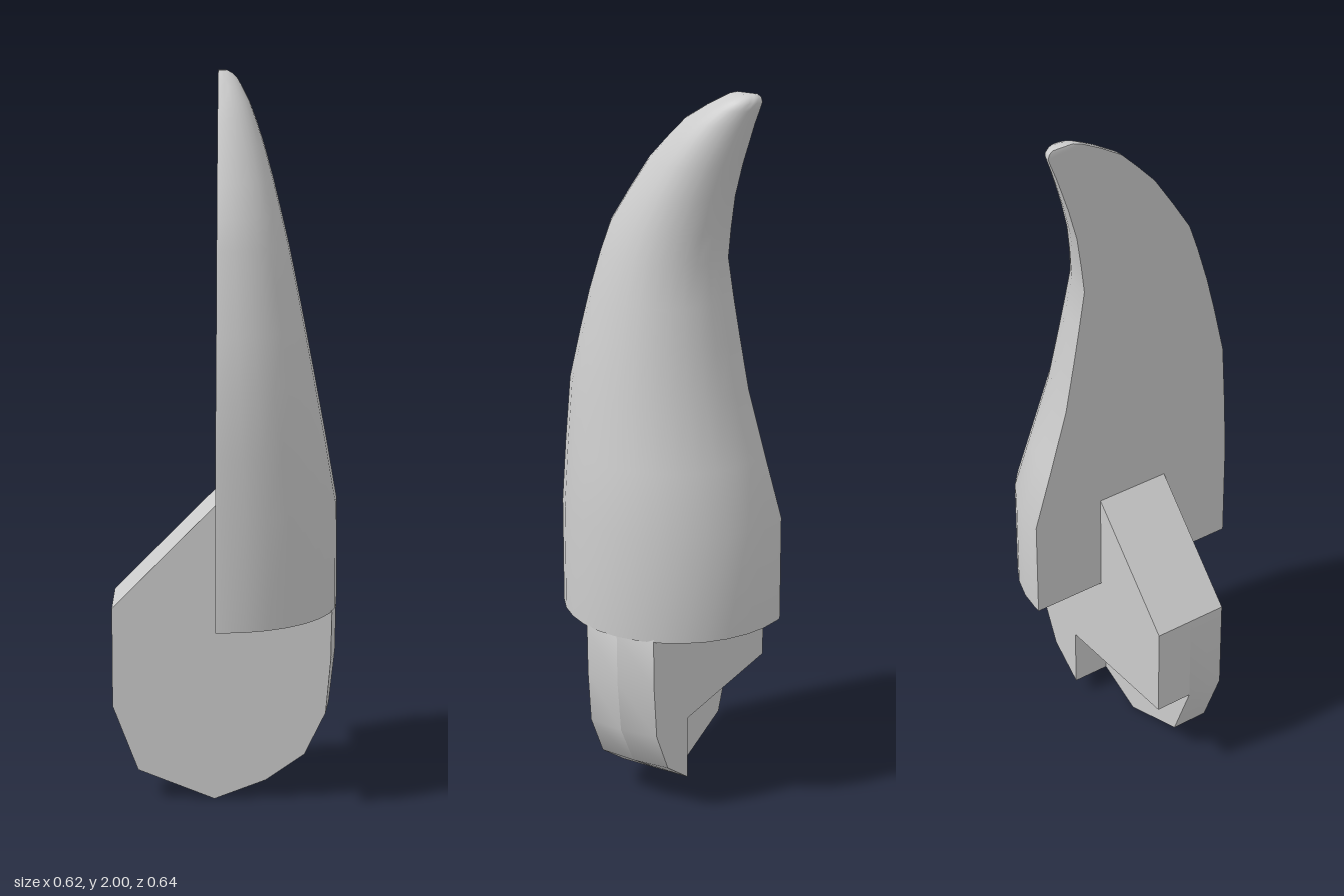
import * as THREE from 'three';
import { toCreasedNormals } from 'three/addons/utils/BufferGeometryUtils.js';

const material = new THREE.MeshStandardMaterial({ color: 0xcccccc });

// Closed loft through rings of equal length, each counter-clockwise about the loft direction.
// Both end caps fan out from the first point of their ring.
function loft(rings, crease) {
  const n = rings[0].length, last = (rings.length - 1) * n, index = [];
  for (let r = 0; r < rings.length - 1; r++) {
    for (let i = 0; i < n; i++) {
      const a = r * n + i, b = r * n + (i + 1) % n;
      index.push(a, b, b + n, a, b + n, a + n);
    }
  }
  for (let i = 1; i < n - 1; i++) {
    index.push(0, i + 1, i, last, last + i, last + i + 1);
  }
  const geometry = new THREE.BufferGeometry();
  geometry.setAttribute('position', new THREE.Float32BufferAttribute(rings.flat(2), 3));
  geometry.setIndex(index);
  return toCreasedNormals(geometry, crease);
}

function addPart(group, name, geometry) {
  const mesh = new THREE.Mesh(geometry, material);
  mesh.name = name;
  group.add(mesh);
}

// Half-round section: flat side at xFlat, bulging to xMax, from zBack to zFront
function hornRing([y, zFront, zBack, xMax, xFlat]) {
  const steps = 16, mid = (zFront + zBack) / 2, half = (zFront - zBack) / 2;
  const xStart = xFlat + (xMax - xFlat) * 0.05;
  const ring = [[xFlat, y, zFront]];
  for (let i = 0; i <= steps; i++) {
    const t = Math.PI * i / steps;
    ring.push([xStart + (xMax - xStart) * Math.sin(t), y, mid + half * Math.cos(t)]);
  }
  ring.push([xFlat, y, zBack]);
  return ring;
}

export function createModel() {
  const group = new THREE.Group();
  group.name = 'halfHorn';

  // Curved horn: height, front z, back z, outer x, flat-side x
  const sections = [
    [0.54, 0.32, -0.32, 0.31, -0.027],
    [0.84, 0.32, -0.32, 0.308, -0.027],
    [1.01, 0.313, -0.268, 0.278, -0.026],
    [1.19, 0.303, -0.215, 0.244, -0.025],
    [1.33, 0.272, -0.188, 0.217, -0.024],
    [1.44, 0.245, -0.168, 0.195, -0.023],
    [1.55, 0.212, -0.15, 0.172, -0.023],
    [1.63, 0.185, -0.158, 0.153, -0.022],
    [1.72, 0.13, -0.17, 0.131, -0.022],
    [1.81, 0.072, -0.193, 0.106, -0.021],
    [1.87, 0.018, -0.212, 0.086, -0.021],
    [1.92, -0.03, -0.228, 0.067, -0.02],
    [1.96, -0.092, -0.243, 0.046, -0.02],
    [1.98, -0.128, -0.25, 0.034, -0.02],
    [1.993, -0.152, -0.246, 0.02, -0.02],
    [2.0, -0.175, -0.235, 0.006, -0.018],
  ];
  addPart(group, 'horn', loft(sections.map(hornRing), 0.75));

  // Rounded edge of the mounting tab; the third value is the bulge at mid thickness
  const edge = [
    [0.113, 0.055, 0], [0.22, 0.13, 0.008], [0.278, 0.25, 0.013],
    [0.291, 0.4, 0.016], [0.293, 0.54, 0.016],
  ];
  const top = [[0.2, 0.8, 0], [-0.027, 0.84, 0], [-0.313, 0.55, 0], [-0.313, 0.27, 0]];
  const tabRing = (outline, z, bulge) => outline.map(([x, y, b]) => [x + b * bulge, y, z]);

  // Front half has the full outline
  const full = [...edge, ...top, [-0.243, 0.085, 0], [-0.03, 0, 0]];
  addPart(group, 'tabFront', loft([tabRing(full, 0, 1), tabRing(full, 0.107, 0)], 0.7));

  // Back half is notched away at the lower corner
  const notched = [[0.113, 0.24, 0], ...edge, ...top];
  addPart(group, 'tabBack', loft([tabRing(notched, -0.108, 0), tabRing(notched, 0, 1)], 0.7));

  return group;
}
